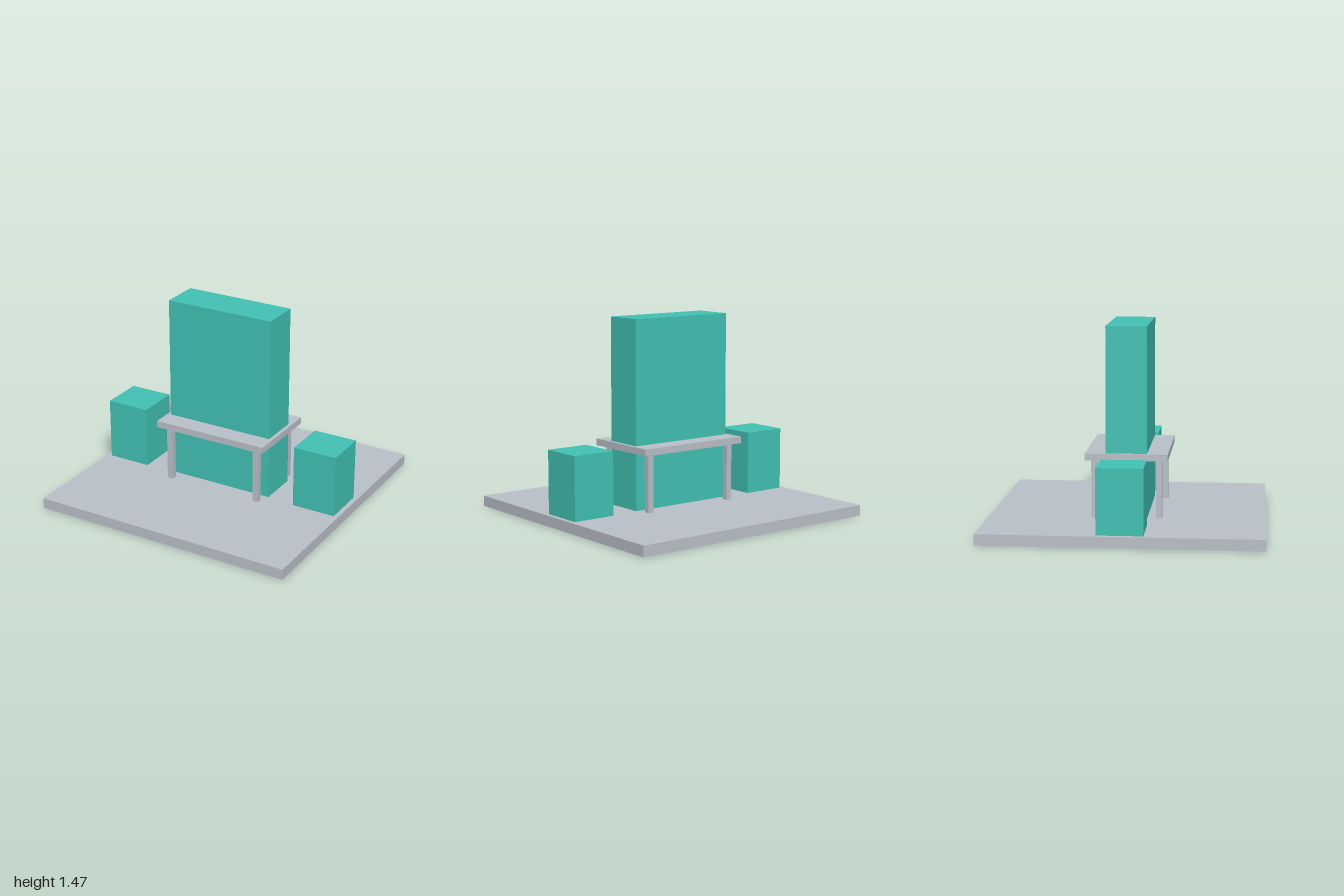
import * as THREE from 'three';

export function createModel() {
  const model = new THREE.Group();
  const teal = new THREE.MeshStandardMaterial({ color: 0x42c2b4 });
  teal.name = 'teal';
  const grey = new THREE.MeshStandardMaterial({ color: 0xbbc1c9 });
  grey.name = 'pale grey';

  // Box given by its size, centre and bottom height
  function addBox(name, material, [w, h, d], x, bottom, z) {
    const mesh = new THREE.Mesh(new THREE.BoxGeometry(w, h, d), material);
    mesh.name = name;
    mesh.position.set(x, bottom + h / 2, z);
    model.add(mesh);
  }

  // Floor slab, a hair above the foot of the tall block that passes through it
  addBox('floorSlab', grey, [2, 0.079, 2], 0, 0.001, 0);

  // Tall block through the table
  addBox('tallBlock', teal, [0.84, 1.467, 0.296], 0, 0, 0);

  // Table top and legs
  addBox('tableTop', grey, [0.894, 0.05, 0.596], 0, 0.505, 0);
  for (const sx of [-1, 1]) {
    for (const sz of [-1, 1]) {
      addBox('tableLeg', grey, [0.044, 0.425, 0.044], sx * 0.367, 0.08, sz * 0.233);
    }
    // Side block
    addBox('sideBlock', teal, [0.332, 0.467, 0.328], sx * 0.799, 0.08, 0);
  }

  return model;
}
